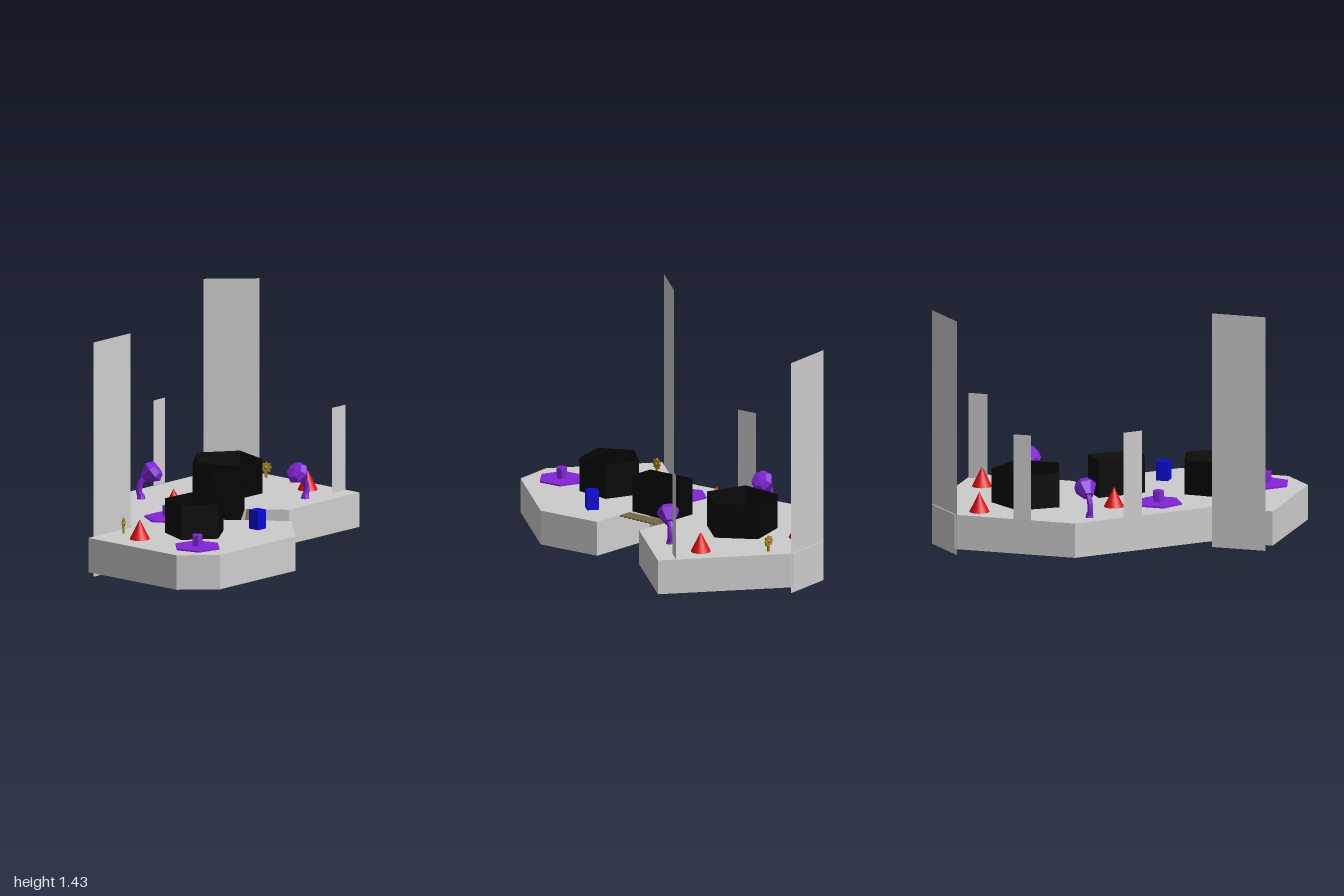
import * as THREE from 'three';

const mat = (name, color, side = THREE.FrontSide) => {
  const m = new THREE.MeshStandardMaterial({ color, side });
  m.name = name;
  return m;
};

export function createModel() {
  const model = new THREE.Group();
  const grey = mat('lightGrey', 0xcccccc, THREE.DoubleSide);
  const black = mat('black', 0x050505, THREE.DoubleSide);
  const red = mat('red', 0xdc0a0a);
  const blue = mat('blue', 0x0a0adc);
  const purple = mat('purple', 0x8424da);
  purple.flatShading = true;
  const brown = mat('brown', 0x7a6844);
  const gold = mat('gold', 0xa8861e);
  const TOP = 0.245;

  const add = (name, geo, material, x = 0, y = 0, z = 0, parent = model) => {
    const mesh = new THREE.Mesh(geo, material);
    mesh.name = name;
    mesh.position.set(x, y, z);
    parent.add(mesh);
    return mesh;
  };

  // Upright sheet standing between two floor points
  const sheet = (name, [ax, az], [bx, bz], y0, y1, material) => {
    const geo = new THREE.PlaneGeometry(Math.hypot(bx - ax, bz - az), y1 - y0);
    const m = add(name, geo, material, (ax + bx) / 2, (y0 + y1) / 2, (az + bz) / 2);
    m.rotation.y = Math.atan2(-(bz - az), bx - ax);
  };

  // Platform with two pentagonal openings and a notch in front
  const toV = (pts) => pts.map(([x, z]) => new THREE.Vector2(x, -z));
  const outline = [
    [0.03, -0.765], [0.78, -0.765], [0.99, -0.55], [0.99, 0.27], [0.36, 0.27], [0.09, -0.1], [-0.13, 0.115],
    [0.145, 0.485], [-0.145, 0.775], [-0.82, 0.775], [-1, 0.59], [-1, -0.115], [-0.62, -0.115],
  ];
  const rightHole = [[0.455, -0.55], [0.665, -0.395], [0.585, -0.145], [0.325, -0.145], [0.243, -0.395]];
  const leftHole = [[-0.59, 0.13], [-0.37, 0.14], [-0.315, 0.35], [-0.5, 0.475], [-0.675, 0.335]];
  const shape = new THREE.Shape(toV(outline));
  shape.holes = [rightHole, leftHole].map((h) => new THREE.Path(toV(h)));
  const slab = new THREE.ExtrudeGeometry(shape, { depth: TOP - 0.035, bevelEnabled: false });
  slab.rotateX(-Math.PI / 2);
  add('platform', slab, grey, 0, 0.035, 0);

  // Black walls ringing the openings and the notch
  const ring = (name, pts, top) =>
    pts.forEach((p, i) => sheet(name, p, pts[(i + 1) % pts.length], TOP, top, black));
  ring('rightWall', rightHole, 0.455);
  ring('leftWall', leftHole, 0.455);
  ring('notchWall', [[-0.13, 0.115], [0.09, -0.1], [0.205, 0.055], [-0.037, 0.24]], 0.47);

  // Upright panels around the rim
  sheet('tallPanel', [-0.955, -0.116], [-0.622, -0.116], 0, 1.43, grey);
  sheet('tallPanel', [0.762, -0.772], [0.994, -0.535], 0, 1.43, grey);
  sheet('shortPanel', [-0.29, -0.446], [-0.2, -0.536], TOP, 0.765, grey);
  sheet('shortPanel', [0.305, -0.765], [0.412, -0.768], TOP, 0.765, grey);
  sheet('shortPanel', [0.865, 0.16], [0.985, 0.16], TOP, 0.765, grey);

  // Slatted bridge across the notch
  for (let i = 0; i < 10; i++) {
    const t = i / 9;
    const slat = add('bridgeSlat', new THREE.BoxGeometry(0.022, 0.008, 0.088), brown,
      0.014 + 0.218 * t, 0.241, 0.287 - 0.182 * t);
    slat.rotation.y = 0.67;
  }

  // Red cones
  for (const [x, z] of [[0.665, -0.64], [-0.06, -0.275], [0.845, -0.015], [-0.815, 0.13]])
    add('cone', new THREE.ConeGeometry(0.06, 0.12, 20), red, x, TOP + 0.06, z);

  add('blueBlock', new THREE.BoxGeometry(0.072, 0.115, 0.072), blue, -0.138, TOP + 0.0575, 0.465);

  // Hexagonal pads with a central knob
  for (const [x, z, turn] of [[-0.287, -0.115, 0], [-0.755, 0.537, -0.25]]) {
    const pad = new THREE.Group();
    pad.name = 'hexPad';
    pad.position.set(x, TOP, z);
    pad.rotation.y = Math.PI / 6 + turn;
    model.add(pad);
    add('padPlate', new THREE.CylinderGeometry(0.146, 0.146, 0.01, 6), purple, 0, 0.005, 0, pad);
    add('padStem', new THREE.CylinderGeometry(0.028, 0.028, 0.03, 6), purple, 0, 0.02, 0, pad);
    add('padKnob', new THREE.CylinderGeometry(0.034, 0.034, 0.055, 6), purple, 0, 0.05, 0, pad);
  }

  // Drooping bulbs on curved stems, leaning along local -x
  const headProfile = [[0, -0.062], [0.032, -0.058], [0.07, 0.01], [0.052, 0.045], [0, 0.055]]
    .map(([r, y]) => new THREE.Vector2(r, y));
  for (const [x, z, turn] of [[0.655, 0.135, 0], [-0.005, -0.585, Math.PI * 0.72]]) {
    const bulb = new THREE.Group();
    bulb.name = 'bulbPlant';
    bulb.position.set(x, TOP, z);
    bulb.rotation.y = turn;
    model.add(bulb);
    const path = new THREE.CatmullRomCurve3([[0, 0], [0.012, 0.05], [0.002, 0.1], [-0.04, 0.15]]
      .map(([px, py]) => new THREE.Vector3(px, py, 0)));
    add('bulbStem', new THREE.TubeGeometry(path, 8, 0.018, 8), purple, 0, 0, 0, bulb);
    add('bulbFoot', new THREE.CylinderGeometry(0.018, 0.026, 0.03, 8), purple, 0, 0.015, 0, bulb);
    const head = add('bulbHead', new THREE.LatheGeometry(headProfile, 7), purple, -0.062, 0.162, 0, bulb);
    head.rotation.z = 0.9;
  }

  // Small gold cogs standing on edge
  const cog = new THREE.Shape(Array.from({ length: 16 }, (_, i) => {
    const a = (i / 16) * Math.PI * 2;
    const r = i % 2 ? 0.026 : 0.036;
    return new THREE.Vector2(Math.cos(a) * r, Math.sin(a) * r);
  }));
  for (const [x, z, turn] of [[-0.77, -0.04, 0.53], [0.917, -0.412, -0.9]]) {
    const group = new THREE.Group();
    group.name = 'goldCog';
    group.position.set(x, TOP, z);
    group.rotation.y = turn;
    model.add(group);
    add('cogDisc', new THREE.ExtrudeGeometry(cog, { depth: 0.01, bevelEnabled: false }), gold, 0, 0.062, -0.005, group);
    add('cogHub', new THREE.SphereGeometry(0.013, 8, 6), gold, 0, 0.062, 0, group);
    add('cogStem', new THREE.BoxGeometry(0.016, 0.035, 0.01), gold, 0, 0.0175, 0, group);
  }

  return model;
}
